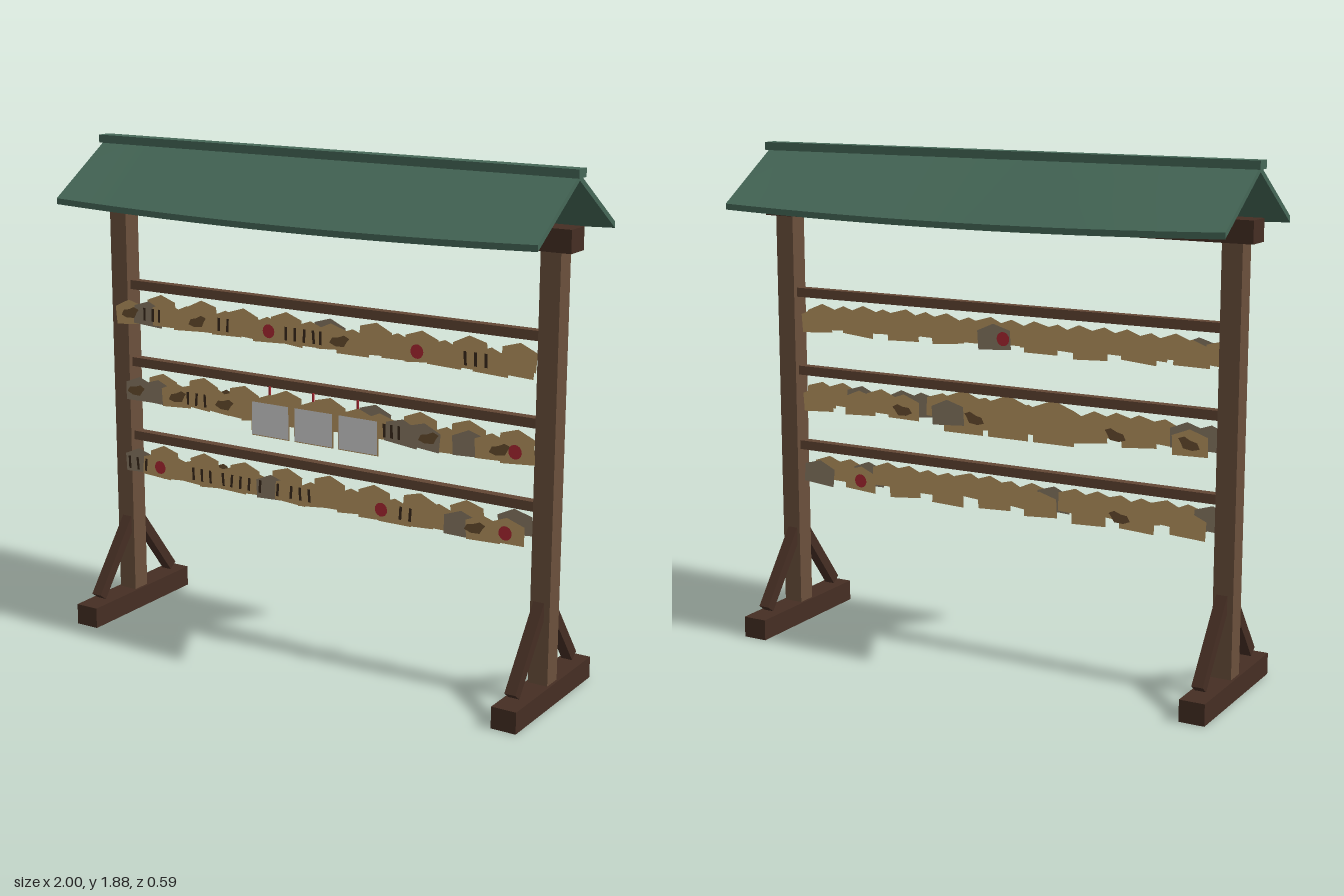
import * as THREE from 'three';

const mat = (name, color, side = THREE.FrontSide) => {
  const m = new THREE.MeshStandardMaterial({ color, side });
  m.name = name;
  return m;
};

export function createModel() {
  const model = new THREE.Group();
  model.name = 'plaqueRack';
  const both = THREE.DoubleSide;
  const M = {
    post: mat('post wood', 0x6b503c),
    dark: mat('dark wood', 0x452e23),
    bar: mat('rail wood', 0x624634),
    roof: mat('green roof', 0x456757),
    tan: mat('plaque wood', 0xbd9a63, both),
    faded: mat('weathered plaque', 0x8d7d66, both),
    board: mat('pale board', 0xd6d6d6, both),
    red: mat('red', 0xb02a33, both),
    ink: mat('ink', 0x3a2a1c, both),
    smudge: mat('brown paint', 0x6c5031, both),
  };
  const add = (name, geo, material, x, y, z, parent = model) => {
    const m = new THREE.Mesh(geo, material);
    m.name = name;
    m.position.set(x, y, z);
    parent.add(m);
    return m;
  };
  const box = (name, w, h, d, material, x, y, z) =>
    add(name, new THREE.BoxGeometry(w, h, d), material, x, y, z);

  let seed = 7;
  const rand = () => (seed = (seed * 16807) % 2147483647) / 2147483647;

  // Frame: feet, posts and diagonal braces
  for (const s of [-1, 1]) {
    box('foot', 0.095, 0.08, 0.59, M.dark, s * 0.912, 0.04, 0);
    box('post', 0.075, 1.53, 0.075, M.post, s * 0.912, 0.845, 0);
    for (const f of [-1, 1]) {
      const brace = box('brace', 0.042, 0.36, 0.04, M.dark, s * 0.907, 0.245, f * 0.117);
      brace.rotation.x = -f * 0.645;
    }
  }
  box('topBeam', 1.98, 0.08, 0.096, M.dark, 0, 1.65, 0);
  const rowHeights = [1.317, 1.013, 0.717];
  for (const y of rowHeights) box('rail', 1.75, 0.035, 0.036, M.bar, 0, y, 0);

  // Roof: two slopes whose eaves dip slightly in the middle
  for (const f of [0, 1]) {
    const g = new THREE.BoxGeometry(1.98, 0.022, 0.295, 16, 1, 1);
    const p = g.attributes.position;
    for (let i = 0; i < p.count; i++) {
      const t = p.getZ(i) / 0.295 + 0.5;
      const sag = 0.02 * (1 - (p.getX(i) / 0.99) ** 2);
      p.setZ(i, t * 0.295);
      p.setY(i, p.getY(i) + 1.856 - t * (0.193 + sag));
    }
    g.computeVertexNormals();
    add('roofSlope', g, M.roof, 0, 0, 0).rotation.y = f * Math.PI;
  }
  box('ridgeCap', 2, 0.03, 0.056, M.roof, 0, 1.87, 0);

  // Flat peaked plaque outline, centred
  const plaqueGeo = (w, h, shoulder) => {
    const s = new THREE.Shape();
    s.moveTo(-w / 2, -h / 2);
    s.lineTo(w / 2, -h / 2);
    s.lineTo(w / 2, -h / 2 + shoulder);
    s.lineTo(0, h / 2);
    s.lineTo(-w / 2, -h / 2 + shoulder);
    return new THREE.ShapeGeometry(s);
  };
  const small = plaqueGeo(0.135, 0.095, 0.07);
  const strokeGeo = new THREE.PlaneGeometry(0.011, 0.05);
  const dotGeo = new THREE.CircleGeometry(0.026, 14);
  const blobShape = new THREE.Shape([
    [-0.042, -0.012], [-0.015, -0.022], [0.02, -0.02], [0.032, 0],
    [0.042, 0.012], [0.02, 0.022], [-0.005, 0.012], [-0.03, 0.008],
  ].map(([x, y]) => new THREE.Vector2(x, y)));
  const blobGeo = new THREE.ShapeGeometry(blobShape);

  // Plaque rows: x of weathered plaques and painted marks on each side
  const rows = [
    { from: -0.86, to: 0.8, faded: [-0.74], dots: [-0.205, 0.42], blobs: [-0.85, -0.53, 0.1],
      strokes: [-0.78, -0.74, -0.71, -0.43, -0.39, -0.13, -0.09, -0.05, -0.01, 0.02, 0.61, 0.65, 0.69],
      back: { faded: [-0.05], dots: [-0.05], blobs: [] } },
    { from: -0.82, to: 0.81, faded: [-0.82, -0.73, 0.32, 0.47, 0.62], dots: [0.81],
      blobs: [-0.83, -0.63, -0.41, 0.47, 0.75], strokes: [-0.58, -0.54, -0.5, 0.29, 0.32, 0.35],
      back: { faded: [0.24], dots: [], blobs: [0.38, 0.07, -0.5, -0.78] } },
    { from: -0.83, to: 0.78, faded: [-0.83, -0.17, 0.58], dots: [-0.72, 0.28, 0.78], blobs: [0.66],
      strokes: [-0.87, -0.83, -0.79, -0.56, -0.52, -0.48, -0.42, -0.38, -0.34, -0.3, -0.25,
        -0.17, -0.11, -0.07, -0.03, 0.36, 0.4],
      back: { faded: [0.76], dots: [0.57], blobs: [-0.52] } },
  ];
  rows.forEach((row, r) => {
    const y = rowHeights[r] - 0.095;
    const hang = (x, z, faded, reach) => {
      const isFaded = faded.some((v) => Math.abs(v - x) < reach);
      const m = add('plaque', small, isFaded ? M.faded : M.tan, x, y + (rand() - 0.5) * 0.012, z);
      m.rotation.z = (rand() - 0.5) * 0.22;
    };
    const n = 19;
    for (let i = 0; i < n; i++) {
      const x = row.from + ((row.to - row.from) * i) / (n - 1);
      hang(x, 0.044 + (i % 3) * 0.004, row.faded, 0.047);
    }
    for (let i = 0; i < 9; i++) hang(-0.78 + i * 0.193, -0.05 - (i % 2) * 0.004, row.back.faded, 0.095);

    const mark = (name, geo, material, x, z) => {
      add(name, geo, material, x, y - 0.005, z).rotation.z = (rand() - 0.5) * 0.2;
    };
    row.strokes.forEach((x) => mark('inkStroke', strokeGeo, M.ink, x, 0.056));
    row.dots.forEach((x) => mark('redSeal', dotGeo, M.red, x, 0.057));
    row.blobs.forEach((x) => mark('paintedPatch', blobGeo, M.smudge, x, 0.056));
    row.back.dots.forEach((x) => mark('redSeal', dotGeo, M.red, x, -0.058));
    row.back.blobs.forEach((x) => mark('paintedPatch', blobGeo, M.smudge, x, -0.058));
  });

  // Three large plaques with pale fronts on red cords
  const large = plaqueGeo(0.17, 0.165, 0.132);
  const pale = new THREE.PlaneGeometry(0.162, 0.125);
  for (const x of [-0.19, 0, 0.19]) {
    add('largePlaque', large, M.tan, x, 0.901, 0.07);
    add('palePanel', pale, M.board, x, 0.885, 0.073);
    box('cord', 0.007, 0.032, 0.005, M.red, x, 0.999, 0.073);
  }
  return model;
}
